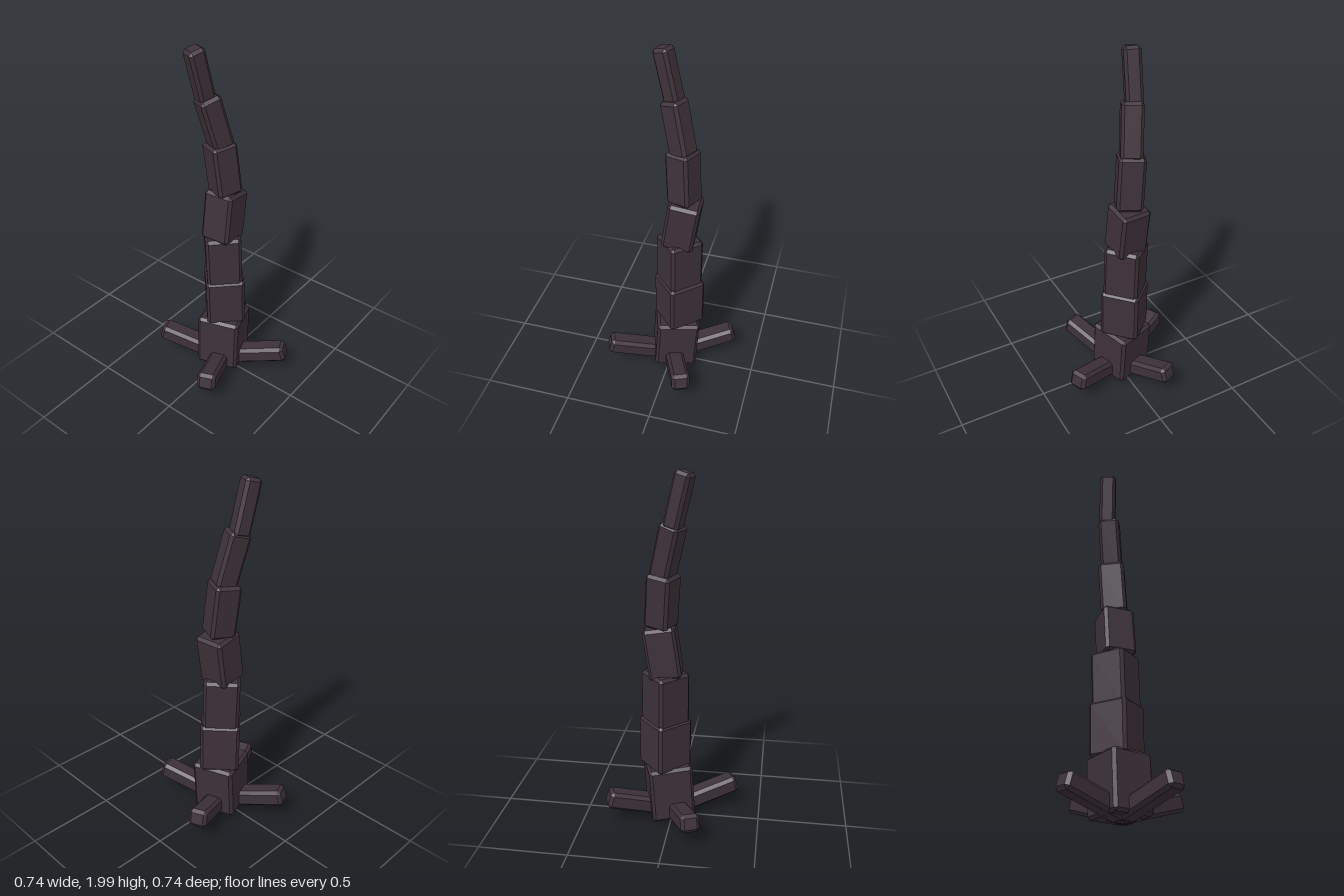
import * as THREE from 'three';
import { ConvexGeometry } from 'three/addons/geometries/ConvexGeometry.js';

// Box with all edges cut flat
function chamferBox(w, h, d, c) {
  const points = [];
  for (const sx of [-1, 1]) for (const sy of [-1, 1]) for (const sz of [-1, 1]) {
    const x = w / 2, y = h / 2, z = d / 2;
    points.push(
      new THREE.Vector3(sx * x, sy * (y - c), sz * (z - c)),
      new THREE.Vector3(sx * (x - c), sy * y, sz * (z - c)),
      new THREE.Vector3(sx * (x - c), sy * (y - c), sz * z)
    );
  }
  return new ConvexGeometry(points);
}

export function createModel() {
  const model = new THREE.Group();
  const bark = new THREE.MeshStandardMaterial({ color: 0x3d3139, flatShading: true });
  bark.name = 'dark bark';

  // Trunk blocks: bottom centre, top centre, width, turn in degrees
  const blocks = [
    [[0.01, 0.03, -0.01], [0.03, 0.352, -0.015], 0.245, 19],
    [[0.04, 0.335, -0.018], [0.038, 0.63, -0.024], 0.218, 43],
    [[0.037, 0.60, -0.024], [0.035, 0.91, -0.036], 0.198, 43],
    [[0.028, 0.885, -0.03], [0.07, 1.17, -0.032], 0.175, 4],
    [[0.06, 1.165, -0.03], [0.04, 1.46, -0.058], 0.143, -22],
    [[0.048, 1.44, -0.05], [-0.018, 1.725, -0.092], 0.116, -24],
    [[-0.012, 1.70, -0.10], [-0.08, 1.985, -0.118], 0.09, -20],
  ];
  const trunk = new THREE.Group();
  trunk.name = 'trunk';
  const up = new THREE.Vector3(0, 1, 0);
  blocks.forEach(([from, to, width, turn], i) => {
    const a = new THREE.Vector3(...from), b = new THREE.Vector3(...to);
    const axis = b.clone().sub(a);
    const mesh = new THREE.Mesh(chamferBox(width, axis.length(), width, 0.016), bark);
    mesh.name = `trunkBlock${i + 1}`;
    mesh.position.copy(a).add(b).multiplyScalar(0.5);
    mesh.quaternion.setFromUnitVectors(up, axis.normalize());
    mesh.rotateY(THREE.MathUtils.degToRad(turn));
    trunk.add(mesh);
  });
  model.add(trunk);

  // Four roots, rising outward from the centre of the base
  const length = 0.42;
  const rootGeometry = chamferBox(length, 0.1, 0.105, 0.018);
  rootGeometry.translate(length / 2 - 0.01, 0.05, 0);
  for (let i = 0; i < 4; i++) {
    const root = new THREE.Mesh(rootGeometry, bark);
    root.name = `root${i + 1}`;
    root.rotation.set(0, THREE.MathUtils.degToRad(23 + i * 90), THREE.MathUtils.degToRad(16));
    model.add(root);
  }
  return model;
}
